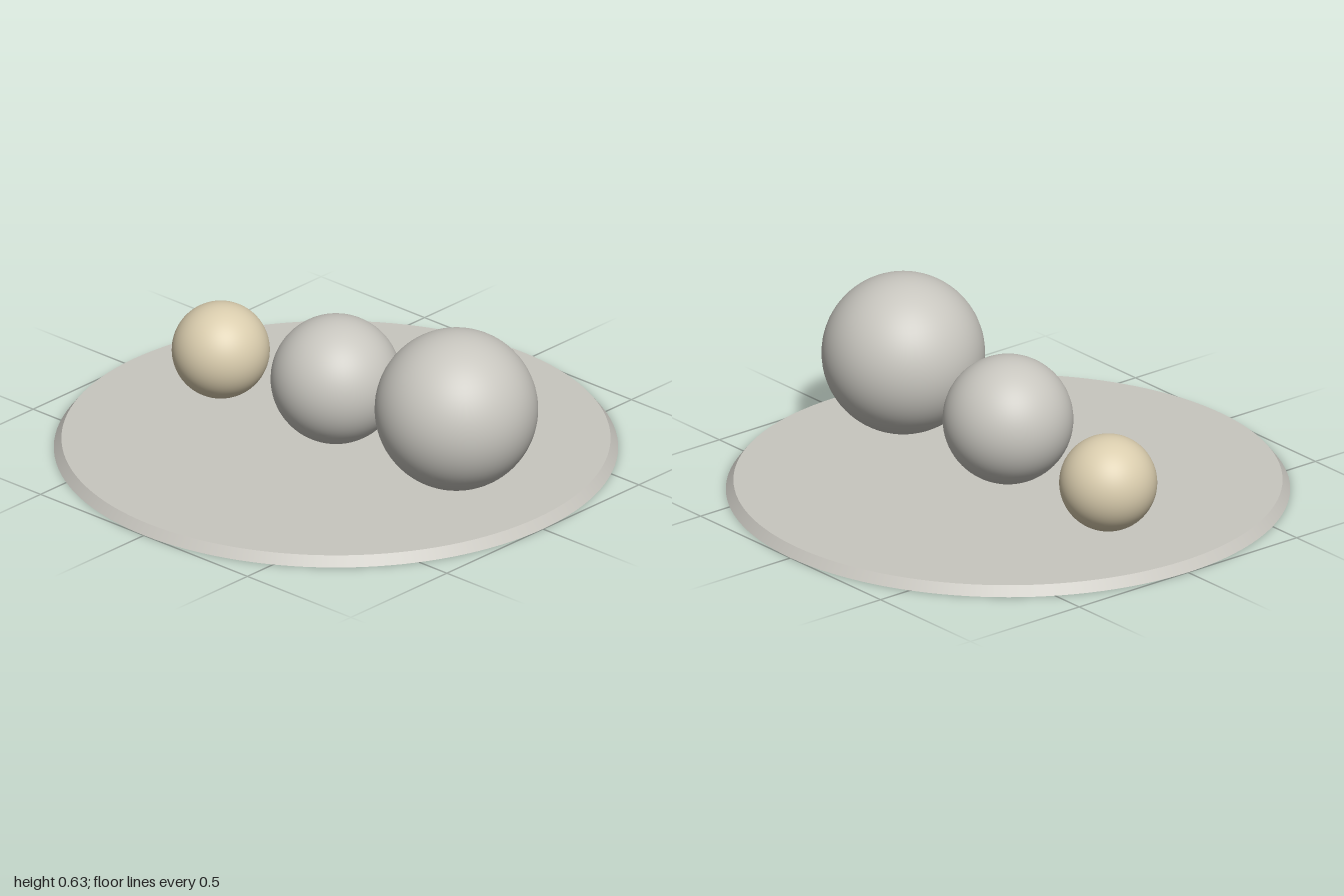
import * as THREE from 'three';

export function createModel() {
  const group = new THREE.Group();
  const grey = new THREE.MeshStandardMaterial({ color: 0xc8c6bf });
  grey.name = 'warm grey';
  const tan = new THREE.MeshStandardMaterial({ color: 0xdacdae });
  tan.name = 'pale tan';

  const add = (name, geometry, material, x, y) => {
    const mesh = new THREE.Mesh(geometry, material);
    mesh.name = name;
    mesh.position.set(x, y, 0);
    group.add(mesh);
  };

  // Round base with a bevelled edge
  const height = 0.035;
  add('base', new THREE.CylinderGeometry(0.973, 1, height, 128), grey, 0, height / 2);

  // Row of balls, growing towards the model's left: name, material, x, y, radius
  const balls = [
    ['smallBall', tan, -0.557, 0.203, 0.174],
    ['mediumBall', grey, 0, 0.268, 0.232],
    ['largeBall', grey, 0.582, 0.336, 0.29],
  ];
  for (const [name, material, x, y, radius] of balls) {
    add(name, new THREE.SphereGeometry(radius, 64, 40), material, x, y);
  }

  return group;
}
